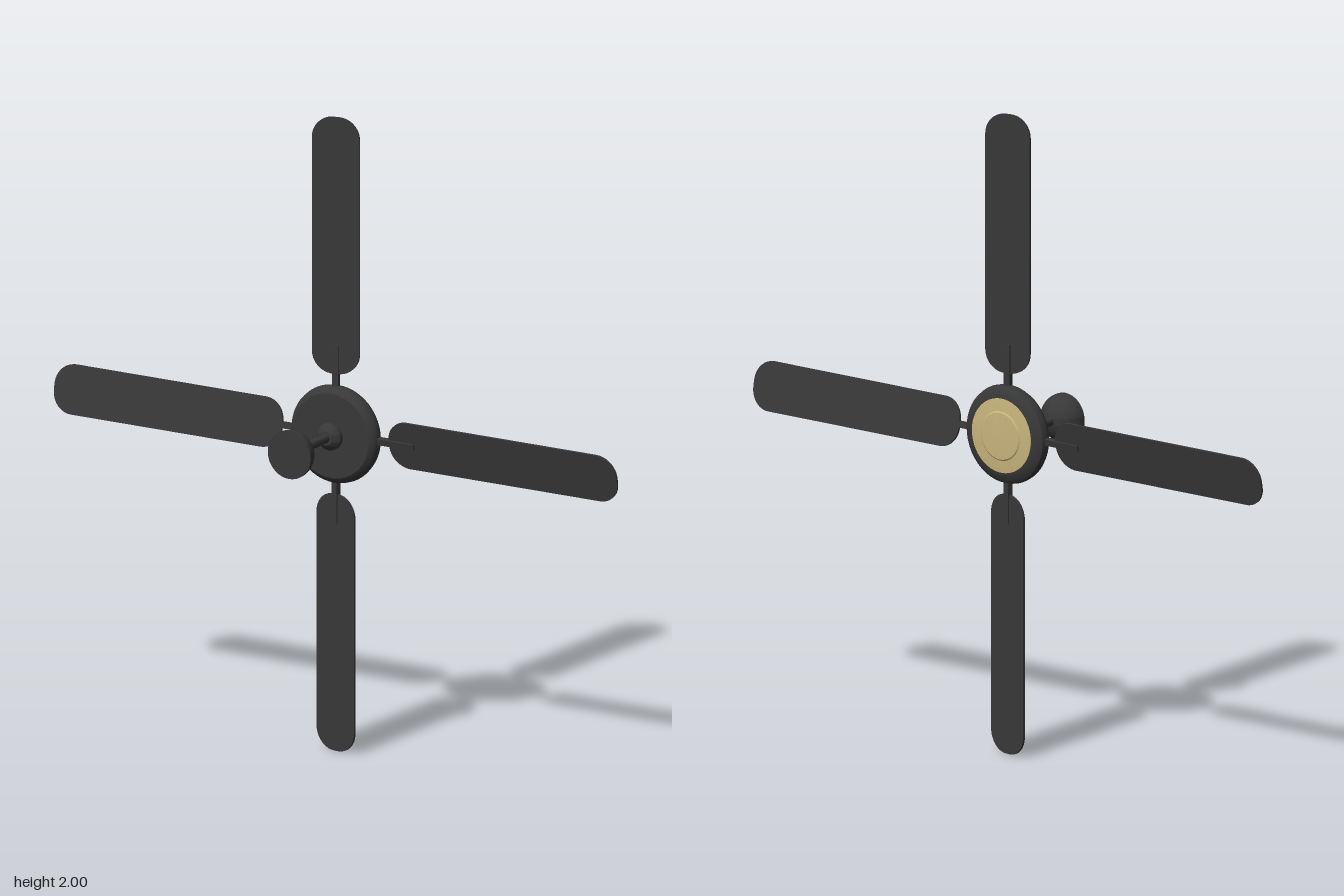
import * as THREE from 'three';
import { toCreasedNormals } from 'three/addons/utils/BufferGeometryUtils.js';

const dark = new THREE.MeshStandardMaterial({ color: 0x383838 });
const gold = new THREE.MeshStandardMaterial({ color: 0xc8b47c });

// Turned part around the z axis; profile is [radius, z] from back to front
function turned(name, profile, material = dark) {
  const points = profile.map(([r, z]) => new THREE.Vector2(r, z));
  const geometry = new THREE.LatheGeometry(points, 48).rotateX(Math.PI / 2);
  const mesh = new THREE.Mesh(toCreasedNormals(geometry, 0.5), material);
  mesh.name = name;
  return mesh;
}

// Flat paddle with rounded ends, lying along +x
function bladeGeometry() {
  const x0 = 0.19, x1 = 1.0, h = 0.077, r = 0.068;
  const s = new THREE.Shape();
  s.moveTo(x0 + r, -h);
  s.lineTo(x1 - r, -h);
  s.absarc(x1 - r, -h + r, r, -Math.PI / 2, 0);
  s.absarc(x1 - r, h - r, r, 0, Math.PI / 2);
  s.absarc(x0 + r, h - r, r, Math.PI / 2, Math.PI);
  s.absarc(x0 + r, -h + r, r, Math.PI, Math.PI * 1.5);
  return new THREE.ExtrudeGeometry(s, { depth: 0.007, bevelEnabled: false, curveSegments: 6 })
    .translate(0, 0, -0.0035);
}

export function createModel() {
  const fan = new THREE.Group();
  fan.name = 'ceilingFan';

  // Motor housing with a rounded rim
  fan.add(turned('motorHousing', [
    [0, -0.147], [0.118, -0.149], [0.138, -0.143], [0.15, -0.134], [0.154, -0.12],
    [0.152, -0.108], [0.145, -0.097], [0.133, -0.089], [0, -0.087],
  ]));

  // Pale cover on the housing, with a raised centre
  fan.add(turned('backCover', [
    [0, -0.157], [0.073, -0.157], [0.077, -0.154], [0.116, -0.15], [0.117, -0.146], [0, -0.146],
  ], gold));

  // Mounting rod, its collar and the domed canopy
  fan.add(turned('rodCollar', [
    [0, -0.09], [0.042, -0.09], [0.042, -0.075], [0.032, -0.063], [0.022, -0.056], [0, -0.056],
  ]));
  fan.add(turned('rod', [[0, -0.06], [0.014, -0.06], [0.014, 0.09], [0, 0.09]]));
  const dome = [[0, 0.081]];
  for (let i = 1; i <= 10; i++) {
    const a = (i / 10) * Math.PI / 2;
    dome.push([0.076 * Math.sin(a), 0.15 - 0.069 * Math.cos(a)]);
  }
  fan.add(turned('canopy', [...dome, [0.076, 0.155], [0, 0.155]]));

  // Four pitched blades, each on a bracket
  const blade = bladeGeometry();
  const bracket = new THREE.BoxGeometry(0.15, 0.02, 0.018).translate(0.205, 0, 0);
  for (let i = 0; i < 4; i++) {
    const arm = new THREE.Group();
    arm.name = 'bladeArm' + (i + 1);
    arm.position.z = -0.118;
    arm.rotation.z = i * Math.PI / 2;
    const paddle = new THREE.Mesh(blade, dark);
    paddle.name = 'blade';
    const holder = new THREE.Mesh(bracket, dark);
    holder.name = 'bladeBracket';
    paddle.rotation.x = holder.rotation.x = 0.19;
    arm.add(paddle, holder);
    fan.add(arm);
  }

  fan.position.y = 1;
  const model = new THREE.Group();
  model.add(fan);
  return model;
}
